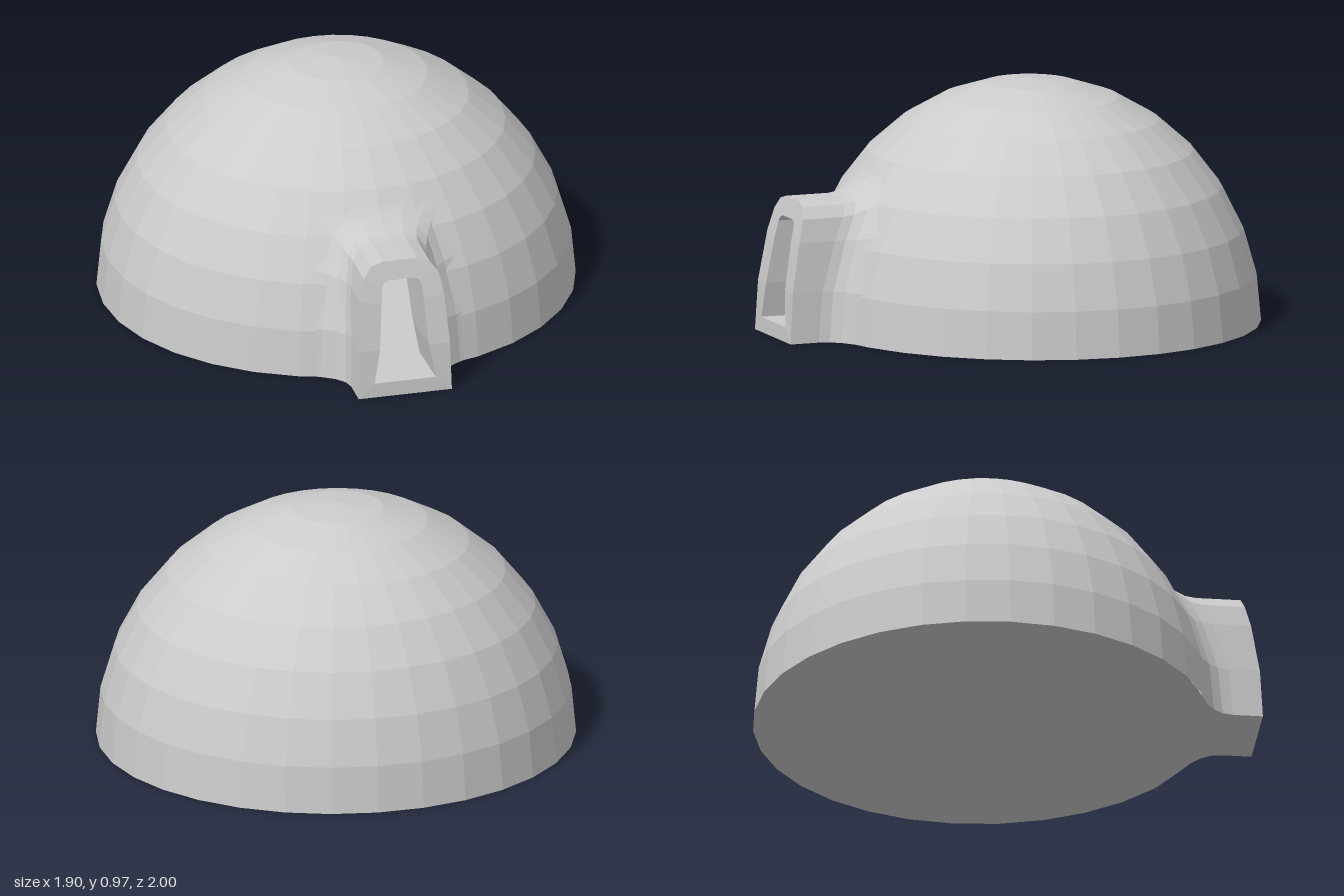
import * as THREE from 'three';

// Dome ellipsoid
const RX = 0.95, RY = 0.97, RZ = 0.905, CZ = -0.095, INNER = 0.95;

const outerMat = new THREE.MeshStandardMaterial({ color: 0xcccccc, flatShading: true });
const innerMat = new THREE.MeshStandardMaterial({ color: 0xcccccc, flatShading: true, side: THREE.BackSide });
const thinMat = new THREE.MeshStandardMaterial({ color: 0xcccccc, flatShading: true, side: THREE.DoubleSide });

// Front surface of the porch leans back as it rises
const frontZ = (y) => 1 - 0.28 * y * y;

// Front depth of the dome at a given x, y
const domeZ = (x, y, s = 1) =>
  CZ + RZ * s * Math.sqrt(Math.max(0, 1 - (x / (RX * s)) ** 2 - (y / (RY * s)) ** 2));

// Half arch mirrored into a full arch running from +x to -x
const mirror = (half) => [...half, ...half.slice(0, -1).reverse().map(([x, y]) => [-x, y])];

function loft(rows) {
  const pos = [];
  for (let i = 0; i < rows.length - 1; i++) {
    for (let j = 0; j < rows[i].length - 1; j++) {
      const a = rows[i][j], b = rows[i][j + 1], c = rows[i + 1][j], d = rows[i + 1][j + 1];
      for (const p of [a, c, b, b, c, d]) pos.push(p.x, p.y, p.z);
    }
  }
  const g = new THREE.BufferGeometry();
  g.setAttribute('position', new THREE.Float32BufferAttribute(pos, 3));
  g.computeVertexNormals();
  return g;
}

// Half ellipsoid with the facets behind the doorway left out
function shell(s) {
  const src = new THREE.SphereGeometry(1, 32, 8, 0, Math.PI * 2, 0, Math.PI / 2).toNonIndexed();
  src.scale(RX * s, RY * s, RZ * s);
  src.translate(0, 0, CZ);
  const p = src.attributes.position, out = [];
  for (let i = 0; i < p.count; i += 3) {
    const v = [0, 1, 2].map((k) => new THREE.Vector3().fromBufferAttribute(p, i + k));
    const behindDoor = v.every((q) => q.z > 0 && Math.abs(q.x) < 0.2 && q.y < 0.56);
    if (!behindDoor) v.forEach((q) => out.push(q.x, q.y, q.z));
  }
  const g = new THREE.BufferGeometry();
  g.setAttribute('position', new THREE.Float32BufferAttribute(out, 3));
  g.computeVertexNormals();
  return g;
}

// Flat outline: dome footprint plus a strip of points leading out to the porch
function footprint(s, porch, up) {
  const pts = porch.map(([x, z]) => new THREE.Vector2(x, z));
  const limit = porch[porch.length - 1][0];
  for (let i = 0; i <= 32; i++) {
    const a = Math.PI / 2 - (i / 32) * Math.PI * 2;
    const x = RX * s * Math.cos(a), z = CZ + RZ * s * Math.sin(a);
    if (z < 0 || Math.abs(x) > limit + 0.02) pts.push(new THREE.Vector2(x, z));
  }
  [...porch].reverse().forEach(([x, z]) => pts.push(new THREE.Vector2(-x, z)));
  if (up) pts.forEach((p) => { p.y *= -1; });
  const g = new THREE.ShapeGeometry(new THREE.Shape(pts));
  g.rotateX(up ? -Math.PI / 2 : Math.PI / 2);
  return g;
}

export function createModel() {
  const group = new THREE.Group();
  const add = (name, geometry, material) => {
    const m = new THREE.Mesh(geometry, material);
    m.name = name;
    group.add(m);
    return m;
  };
  const V = (x, y, z) => new THREE.Vector3(x, y, z);

  // Arch profiles: porch outside, doorway, and where the porch flares into the dome
  const arch = mirror([[0.19, 0], [0.185, 0.2], [0.17, 0.4], [0.152, 0.49], [0.118, 0.535], [0.07, 0.549], [0, 0.55]]);
  const door = mirror([[0.125, 0.06], [0.1, 0.2], [0.085, 0.39], [0.08, 0.45], [0.07, 0.468], [0.05, 0.475], [0, 0.475]]);
  const flare = mirror([[0.36, 0], [0.34, 0.2], [0.29, 0.42], [0.245, 0.605], [0.19, 0.615], [0.1, 0.635], [0, 0.65]]);

  // Dome
  add('domeOuter', shell(1), outerMat);
  add('domeInner', shell(INNER), innerMat);

  // Porch: straight arch, then a curved fillet onto the dome
  const archFront = arch.map(([x, y]) => V(x, y, frontZ(y)));
  const porchRows = [archFront];
  const STEPS = 4;
  for (let k = 0; k <= STEPS; k++) {
    porchRows.push(arch.map(([x, y], j) => {
      const [fx, fy] = flare[j];
      const z = domeZ(x, y);
      return new THREE.QuadraticBezierCurve3(
        V(x, y, z + 0.09), V(x, y, z), V(fx, fy, domeZ(fx, fy, 0.993))
      ).getPoint(k / STEPS);
    }));
  }
  add('porch', loft(porchRows), thinMat);

  // Face around the doorway and the sill beneath it
  const doorFront = door.map(([x, y]) => V(x, y, frontZ(y)));
  add('doorFrame', loft([doorFront, archFront]), thinMat);
  const ends = (row) => [row[0], row[row.length - 1]];
  add('doorSill', loft([ends(doorFront), ends(archFront)]), thinMat);

  // Passage through the wall, widening onto the inner dome
  const throat = door.map(([x, y]) => V(x * 0.95, y, domeZ(x, y, INNER) + 0.01));
  const mouth = door.map(([x, y]) => {
    const mx = x * 1.9, my = 0.06 + (y - 0.06) * 1.3;
    return V(mx, my, domeZ(mx, my, INNER * 0.99));
  });
  add('passage', loft([doorFront, throat, mouth]), thinMat);

  // Raised floor and underside
  const floor = add('floor', footprint(INNER, [[0.125, frontZ(0.06)], [0.125, 0.76]], true), thinMat);
  floor.position.y = 0.06;
  const edge = porchRows.map((row) => [row[0].x, row[0].z]);
  add('underside', footprint(1, edge, false), thinMat);

  return group;
}
